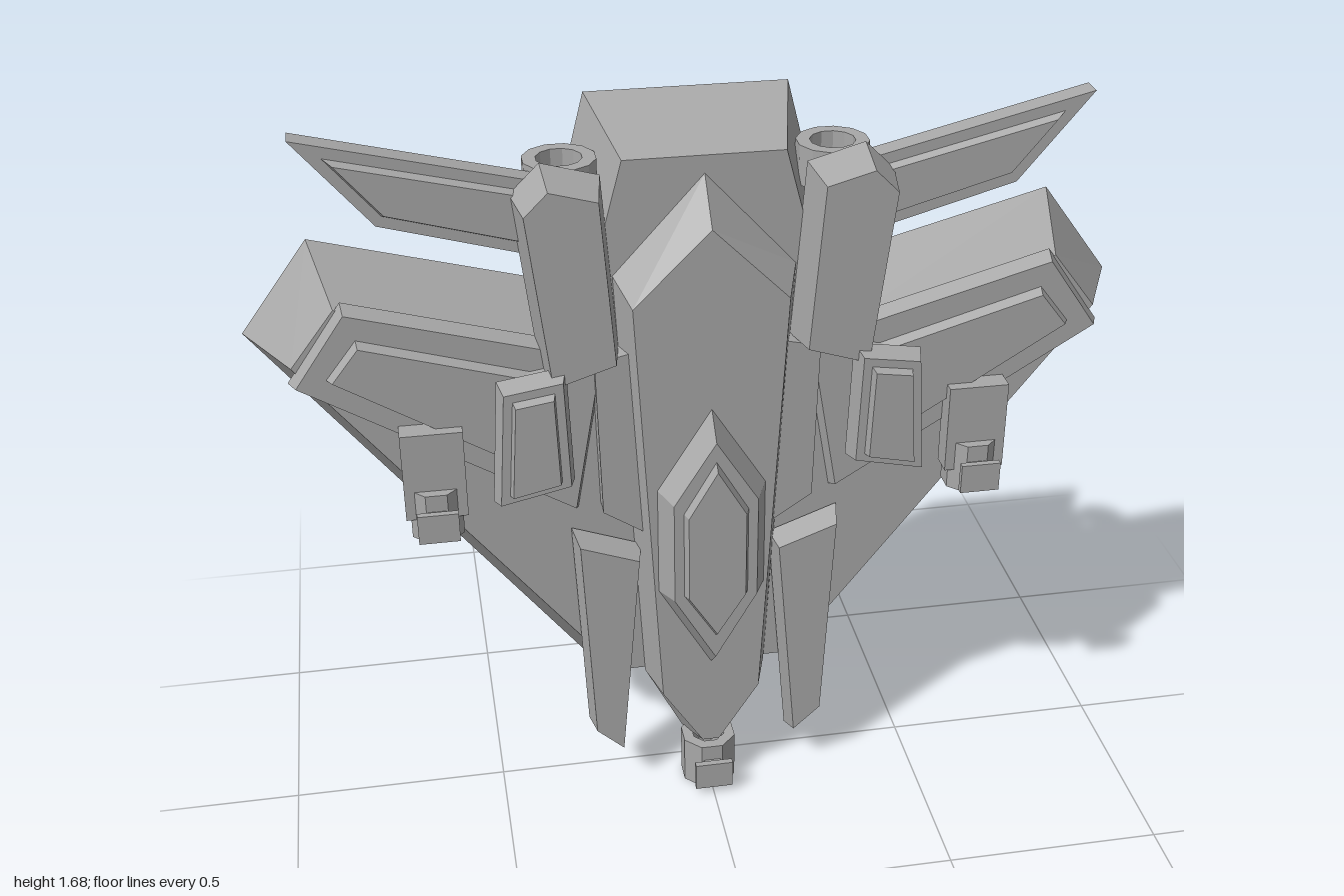
import * as THREE from 'three';

const grey = new THREE.MeshStandardMaterial({ color: 0xa8a8a8, flatShading: true });
grey.name = 'hullGrey';

const V = (list) => list.map(([x, y]) => new THREE.Vector2(x, y));
const mirrorX = (list, s) => list.map(([x, y]) => [x * s, y]);
// closes a half outline (running top to bottom on +x) across the centre line
const symmetric = (half) => [
  ...half,
  ...half.filter(([x]) => x > 0).reverse().map(([x, y]) => [-x, y]),
];

// moves every edge of an outline inwards by d
function inset(list, d) {
  const p = V(list), n = p.length;
  const dir = THREE.ShapeUtils.area(p) > 0 ? 1 : -1;
  const normal = (a, b) => new THREE.Vector2(-(b.y - a.y), b.x - a.x).normalize().multiplyScalar(dir);
  return p.map((c, i) => {
    const n1 = normal(p[(i + n - 1) % n], c), n2 = normal(c, p[(i + 1) % n]);
    const k = d / (1 + n1.dot(n2));
    return [c.x + (n1.x + n2.x) * k, c.y + (n1.y + n2.y) * k];
  });
}

// solid between a back outline at z0 and a matching front outline at z1
function plate(name, back, z0, z1, front = back) {
  let a = V(back), b = V(front);
  if (THREE.ShapeUtils.area(a) < 0) { a = a.reverse(); b = b.reverse(); }
  const pos = [], n = a.length;
  const put = (p, z) => pos.push(p.x, p.y, z);
  for (const [i, j, k] of THREE.ShapeUtils.triangulateShape(b, [])) {
    put(b[i], z1); put(b[j], z1); put(b[k], z1);
  }
  for (const [i, j, k] of THREE.ShapeUtils.triangulateShape(a, [])) {
    put(a[i], z0); put(a[k], z0); put(a[j], z0);
  }
  for (let i = 0; i < n; i++) {
    const j = (i + 1) % n;
    put(a[i], z0); put(a[j], z0); put(b[j], z1);
    put(a[i], z0); put(b[j], z1); put(b[i], z1);
  }
  const g = new THREE.BufferGeometry();
  g.setAttribute('position', new THREE.Float32BufferAttribute(pos, 3));
  g.computeVertexNormals();
  const m = new THREE.Mesh(g, grey);
  m.name = name;
  return m;
}

function box(name, x0, x1, y0, y1, z0, z1) {
  const m = new THREE.Mesh(new THREE.BoxGeometry(x1 - x0, y1 - y0, z1 - z0), grey);
  m.position.set((x0 + x1) / 2, (y0 + y1) / 2, (z0 + z1) / 2);
  m.name = name;
  return m;
}

// open vertical pipe with wall thickness
function pipe(name, x, z, y0, y1, rOut, rIn, sides) {
  const profile = V([[rIn, y0], [rOut, y0], [rOut, y1], [rIn, y1], [rIn, y0]]);
  const m = new THREE.Mesh(new THREE.LatheGeometry(profile, sides, Math.PI / sides), grey);
  m.position.set(x, 0, z);
  m.name = name;
  return m;
}

// short barrel with a sight plate in front
function gun(name, x, y, z, r) {
  const g = new THREE.Group();
  g.name = name;
  g.add(
    pipe('barrel', x, z, y, y + 0.12, r, r * 0.6, 8),
    box('sightPlate', x - 0.045, x + 0.045, y + 0.02, y + 0.09, 0.155, 0.17),
    box('sightMount', x - 0.02, x + 0.02, y + 0.05, y + 0.08, z + r * 0.8, 0.156),
  );
  return g;
}

export function createModel() {
  const model = new THREE.Group();
  model.name = 'spaceship';

  // rear hull slab, tapering towards the front
  const hullBack = symmetric([[0.225, 1.67], [0.335, 1.24], [0.84, 1.375], [1.0, 1.16], [0.26, 0.19]]);
  const hullFront = symmetric([[0.175, 1.6], [0.29, 1.17], [0.79, 1.31], [0.89, 1.18], [0.21, 0.3]]);
  model.add(plate('hull', hullBack, -0.2, 0.03, hullFront));

  // fuselage spine
  model.add(plate('fuselage',
    symmetric([[0, 1.56], [0.2, 1.34], [0.145, 0.29], [0.055, 0.11]]), 0.03, 0.12,
    symmetric([[0, 1.47], [0.17, 1.3], [0.115, 0.28], [0.02, 0.13]])));

  // cockpit canopy in two steps
  const canopy = symmetric([[0, 1.05], [0.125, 0.85], [0.125, 0.58], [0, 0.36]]);
  model.add(plate('canopyFrame', canopy, 0.115, 0.18, inset(canopy, 0.03)));
  const glass = symmetric([[0, 0.95], [0.075, 0.82], [0.075, 0.6], [0, 0.48]]);
  model.add(plate('canopy', glass, 0.175, 0.2, inset(glass, 0.01)));

  model.add(gun('noseGun', 0, 0, 0.077, 0.067));

  for (const s of [1, -1]) {
    const side = new THREE.Group();
    side.name = s > 0 ? 'leftSide' : 'rightSide';
    const add = (name, pts, z0, z1, bevel = 0) => {
      const p = mirrorX(pts, s);
      side.add(plate(name, p, z0, z1, bevel ? inset(p, bevel) : p));
    };

    // wing armour, two layers
    add('wingPlate', [[0.9, 1.145], [0.775, 1.325], [0.22, 1.17], [0.29, 0.77]], 0.025, 0.065, 0.012);
    add('wingPanel', [[0.82, 1.165], [0.75, 1.255], [0.36, 1.14], [0.36, 0.88]], 0.06, 0.09, 0.01);
    add('wingRoot', [[0.16, 1.18], [0.25, 1.16], [0.24, 0.78], [0.15, 0.72]], 0.03, 0.08);

    // shoulder block beside the spine
    add('shoulder', [[0.41, 1.54], [0.345, 1.605], [0.22, 1.57], [0.19, 1.17], [0.36, 1.115]], 0.025, 0.14, 0.018);

    // swept upper fin with raised panel
    const fin = [[0.845, 1.685], [0.33, 1.56], [0.33, 1.39], [0.685, 1.49]];
    add('upperFin', fin, -0.025, 0.025);
    add('upperFinPanel', inset(fin, 0.022), 0.02, 0.042, 0.01);

    // exhaust ring
    side.add(pipe('exhaustRing', s * 0.295, -0.062, 1.49, 1.58, 0.08, 0.05, 12));

    // shield pod on the wing
    const pod = [[0.465, 1.155], [0.315, 1.178], [0.305, 0.9], [0.485, 0.86]];
    add('podBase', inset(pod, 0.02), 0.06, 0.12);
    add('podShield', pod, 0.115, 0.165, 0.012);
    add('podPanel', inset(pod, 0.03), 0.16, 0.188, 0.006);

    // wing gun with housing
    const gx = s * 0.61;
    side.add(box('gunHousing', gx - 0.068, gx + 0.068, 0.83, 1.04, 0.06, 0.115));
    side.add(gun('wingGun', gx, 0.78, 0.08, 0.062));

    // lower forward prong
    add('prong', [[0.31, 0.72], [0.15, 0.66], [0.2, 0.09], [0.285, 0.17]], 0.035, 0.1, 0.012);

    model.add(side);
  }
  return model;
}
